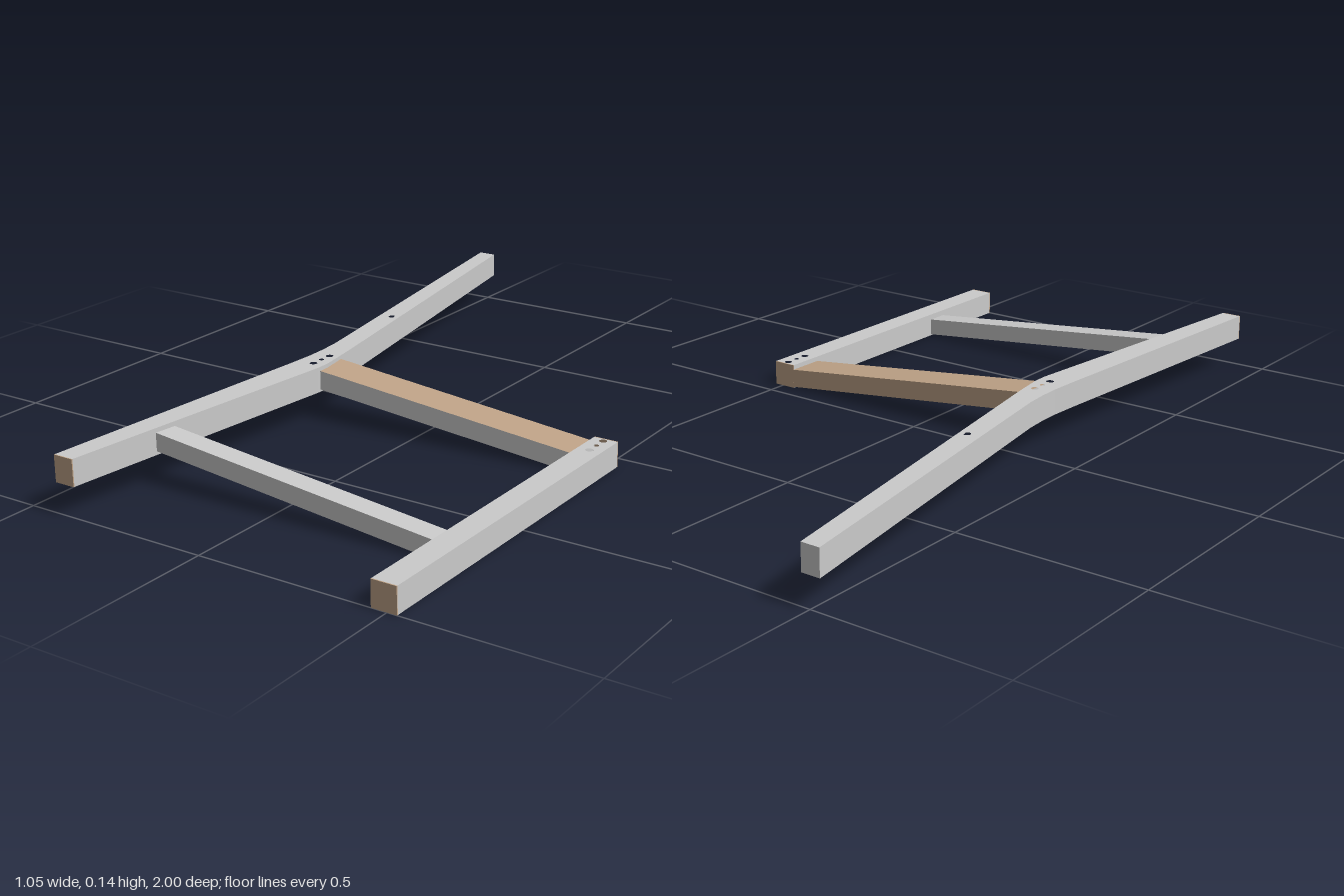
import * as THREE from 'three';

const grey = new THREE.MeshStandardMaterial({ color: 0xcacaca });
grey.name = 'grey paint';
const wood = new THREE.MeshStandardMaterial({ color: 0xbfa387 });
wood.name = 'bare wood';

function add(parent, name, geometry, material) {
  const mesh = new THREE.Mesh(geometry, material);
  mesh.name = name;
  parent.add(mesh);
  return mesh;
}

// Flat plan outline in (x, z), extruded upward from y0 to y1
function slab(outline, holes, y0, y1) {
  const shape = new THREE.Shape(outline.map(([x, z]) => new THREE.Vector2(x, -z)));
  for (const [x, z, r] of holes) {
    shape.holes.push(new THREE.Path().absarc(x, -z, r, 0, Math.PI * 2, true));
  }
  const geo = new THREE.ExtrudeGeometry(shape, { depth: y1 - y0, bevelEnabled: false, curveSegments: 8 });
  return geo.rotateX(-Math.PI / 2).translate(0, y0, 0);
}

// Leg with blind dowel holes drilled from above
function leg(name, outline, holes, y0, y1) {
  const group = new THREE.Group();
  group.name = name;
  const floor = y1 - 0.045;
  add(group, name + 'Lower', slab(outline, [], y0, floor), grey);
  add(group, name + 'Drilled', slab(outline, holes, floor, y1), grey);
  return group;
}

// Thin end-grain plate with its outer face at z
function endGrain(parent, name, x0, x1, y0, y1, z, side) {
  const t = 0.003;
  const plate = add(parent, name, new THREE.BoxGeometry(x1 - x0, y1 - y0, t), wood);
  plate.position.set((x0 + x1) / 2, (y0 + y1) / 2, z - side * t / 2);
}

// Straight bar between two end sections { x, y0, y1, z0, z1 }
function bar(left, right) {
  const geo = new THREE.BoxGeometry(1, 1, 1);
  const p = geo.attributes.position;
  for (let i = 0; i < p.count; i++) {
    const e = p.getX(i) < 0 ? left : right;
    p.setXYZ(i, e.x, p.getY(i) < 0 ? e.y0 : e.y1, p.getZ(i) < 0 ? e.z0 : e.z1);
  }
  geo.computeVertexNormals();
  return geo;
}

export function createModel() {
  const model = new THREE.Group();
  model.name = 'chairSideFrame';

  // Bent rear leg and back upright
  const rearOutline = [
    [-0.528, -1], [-0.478, -1], [-0.299, 0.03], [-0.288, 0.1], [-0.281, 0.15], [-0.281, 0.19],
    [-0.365, 0.997], [-0.42, 0.997], [-0.364, 0.2], [-0.36, 0.12], [-0.361, 0.06], [-0.366, 0],
  ];
  const rearHoles = [
    [-0.496, -0.952, 0.01], [-0.49, -0.918, 0.007], [-0.484, -0.883, 0.01],
    [-0.374, -0.282, 0.01],
    [-0.314, 0.095, 0.01], [-0.314, 0.13, 0.007], [-0.314, 0.165, 0.01],
  ];
  const rear = leg('rearLeg', rearOutline, rearHoles, 0.077, 0.145);
  endGrain(rear, 'rearLegFoot', -0.42, -0.365, 0.077, 0.145, 1, 1);
  model.add(rear);

  // Straight front leg
  const frontOutline = [[0.46, 0.053], [0.525, 0.053], [0.525, 0.997], [0.46, 0.997]];
  const frontHoles = [[0.492, 0.066, 0.01], [0.492, 0.101, 0.007], [0.492, 0.136, 0.01]];
  const front = leg('frontLeg', frontOutline, frontHoles, 0, 0.066);
  endGrain(front, 'frontLegFoot', 0.46, 0.525, 0, 0.066, 1, 1);
  endGrain(front, 'frontLegTop', 0.46, 0.525, 0, 0.066, 0.05, -1);
  model.add(front);

  // Seat rail: bare wood on its top and back faces
  add(model, 'seatRail', bar(
    { x: -0.3, y0: 0.085, y1: 0.136, z0: 0.075, z1: 0.181 },
    { x: 0.462, y0: 0.003, y1: 0.053, z0: 0.05, z1: 0.152 },
  ), [grey, grey, wood, grey, grey, wood]);

  // Lower stretcher
  add(model, 'stretcher', bar(
    { x: -0.345, y0: 0.087, y1: 0.134, z0: 0.688, z1: 0.748 },
    { x: 0.462, y0: 0.003, y1: 0.05, z0: 0.688, z1: 0.748 },
  ), grey);

  return model;
}
